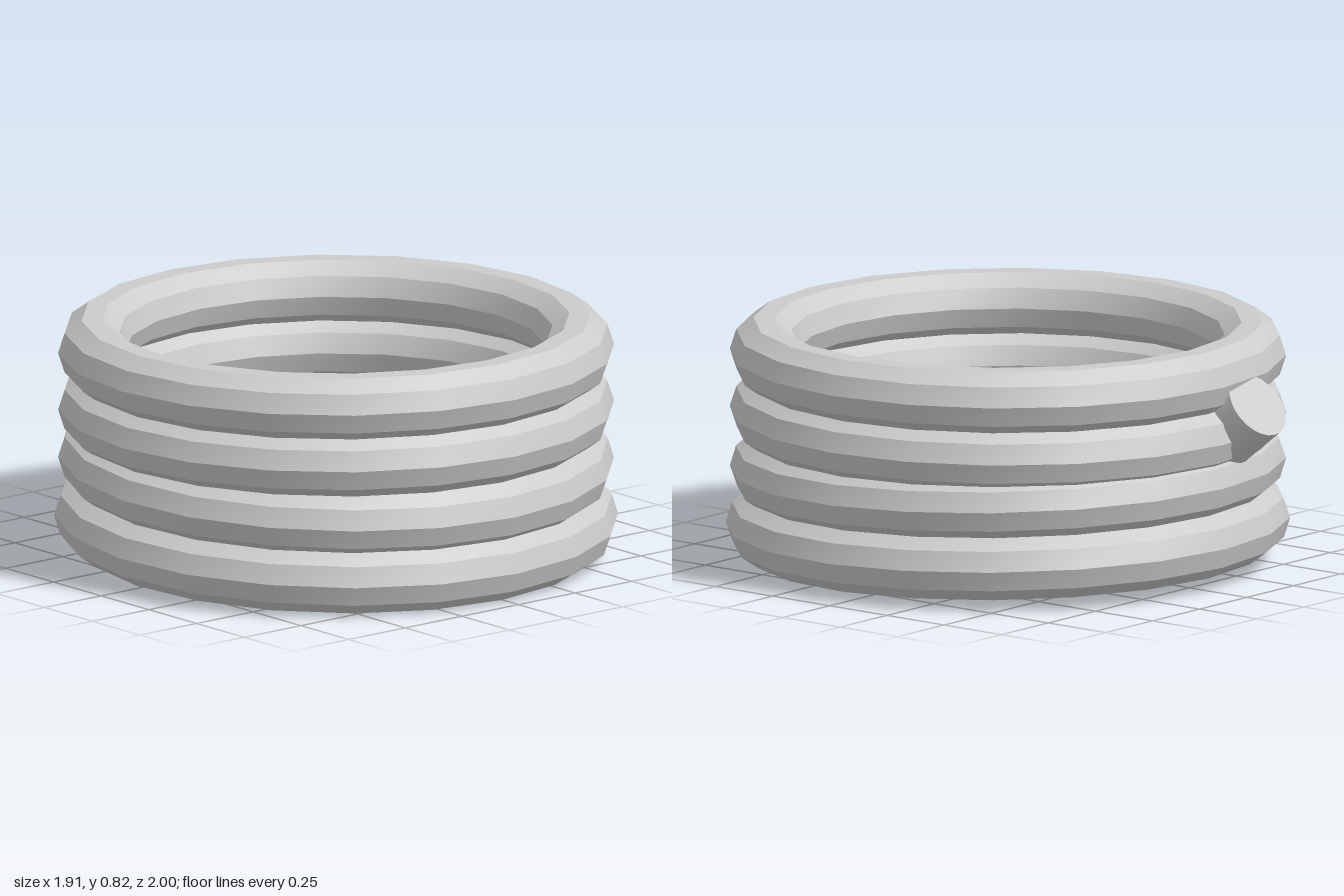
import * as THREE from 'three';
import { toCreasedNormals } from 'three/addons/utils/BufferGeometryUtils.js';

export function createModel() {
  const model = new THREE.Group();
  const material = new THREE.MeshStandardMaterial({ color: 0xcccccc });
  const centreZ = 0.043;

  function add(name, geometry, x, y, z, tilt) {
    const mesh = new THREE.Mesh(toCreasedNormals(geometry, Math.PI / 7), material);
    mesh.name = name;
    mesh.position.set(x, y, z);
    mesh.rotation.x = tilt;
    model.add(mesh);
  }

  // Stacked coils: ten-sided tube, twenty segments; the lower two lean forward
  const coils = [
    { name: 'topCoil', y: 0.712, tilt: 0, radius: 0.826 },
    { name: 'upperCoil', y: 0.515, tilt: 0, radius: 0.826 },
    { name: 'lowerCoil', y: 0.333, tilt: 0.032, radius: 0.826 },
    { name: 'bottomCoil', y: 0.134, tilt: 0.025, radius: 0.84 },
  ];
  for (const { name, y, tilt, radius } of coils) {
    const ring = new THREE.TorusGeometry(radius, 0.115, 10, 20).rotateX(Math.PI / 2);
    add(name, ring, 0, y, centreZ, tilt);
  }

  // Short slanted stub at the back, passing through the coils
  const length = 0.195;
  const stub = new THREE.CylinderGeometry(0.12, 0.12, length, 24).translate(0, -length / 2, 0);
  add('backStub', stub, -0.15, 0.633, -0.925, -0.9);

  return model;
}
